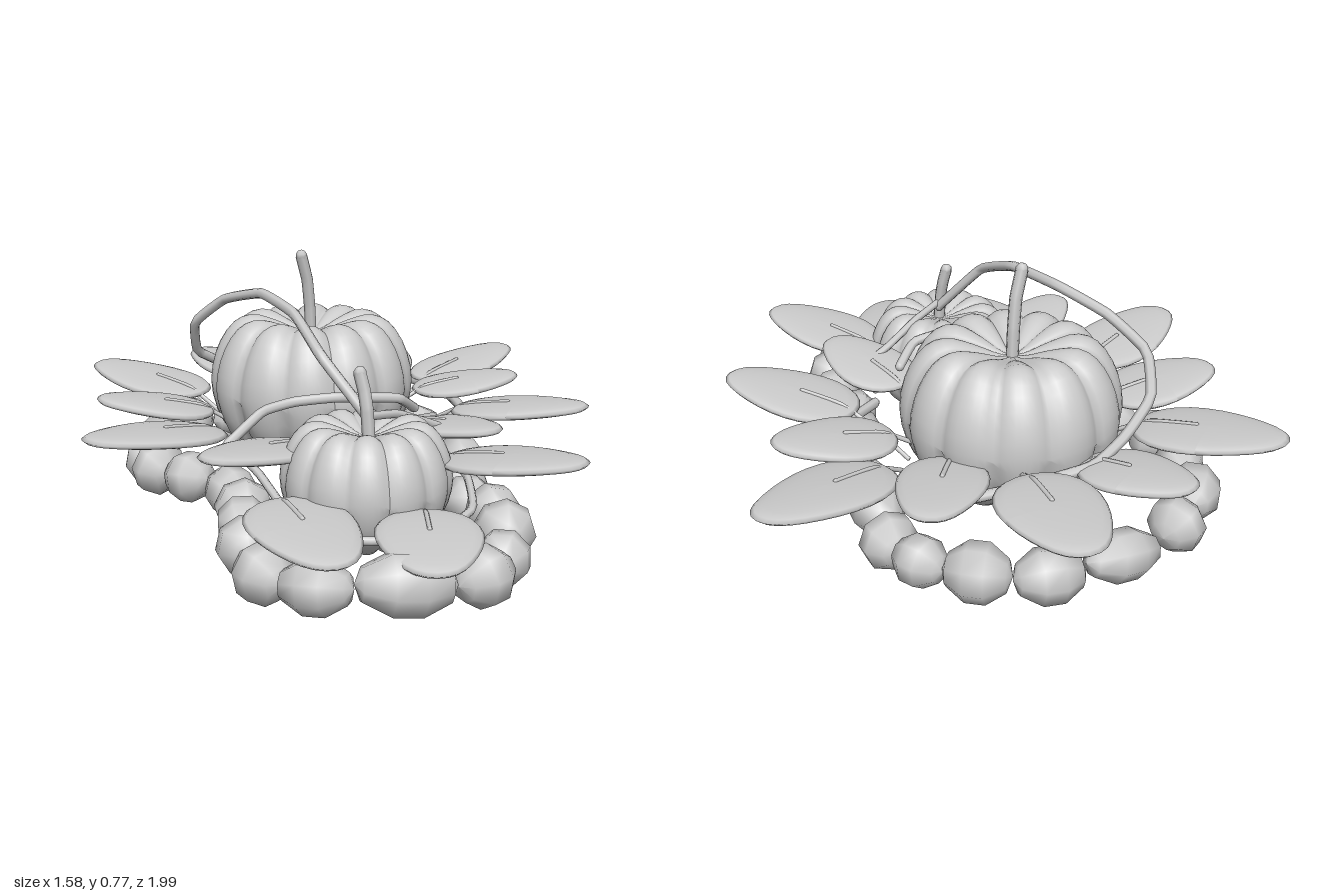
import * as THREE from 'three';

const V = (p) => new THREE.Vector3(...p);
const material = new THREE.MeshStandardMaterial({ color: 0xcccccc });

function addMesh(parent, name, geometry) {
  const mesh = new THREE.Mesh(geometry, material);
  mesh.name = name;
  parent.add(mesh);
  return mesh;
}

// Kinked stalk through a few points, closed at both ends
function addVine(parent, name, points, radius) {
  const curve = new THREE.CatmullRomCurve3(points.map(V), false, 'catmullrom', 0.2);
  const vine = addMesh(parent, name, new THREE.TubeGeometry(curve, points.length * 5, radius, 7));
  for (const t of [0, 1]) {
    addMesh(vine, name + 'End', new THREE.SphereGeometry(radius, 7, 5)).position.copy(curve.getPoint(t));
  }
}

// Ribbed pumpkin: a lathed profile whose radius is pinched at each groove
function addPumpkin(parent, name, [x, z], radius, y0, y1, ribs, stem) {
  const group = new THREE.Group();
  group.name = name;
  parent.add(group);
  const h = y1 - y0;
  const outline = [[0, 0.09], [0.14, 0.05], [0.35, 0.0], [0.65, 0.06], [0.9, 0.26], [1, 0.52],
    [0.94, 0.76], [0.78, 0.94], [0.58, 1], [0.35, 0.96], [0.14, 0.9], [0, 0.88]];
  const profile = new THREE.SplineCurve(outline.map(([r, y]) => new THREE.Vector2(r * radius, y0 + y * h)))
    .getPoints(28);
  profile.forEach((p) => { p.x = Math.max(p.x, 0); });
  const geometry = new THREE.LatheGeometry(profile, ribs * 8);
  const pos = geometry.attributes.position;
  for (let i = 0; i < pos.count; i++) {
    const a = Math.atan2(pos.getX(i), pos.getZ(i));
    const pinch = 1 - 0.055 * Math.pow(1 - Math.abs(Math.sin(a * ribs / 2)), 1.3);
    const rim = Math.hypot(pos.getX(i), pos.getZ(i)) / radius;
    const dip = (1 - pinch) * h * 0.8 * Math.min(1, rim * 2) * Math.sign(pos.getY(i) - (y0 + y1) / 2);
    pos.setXYZ(i, pos.getX(i) * pinch, pos.getY(i) - dip, pos.getZ(i) * pinch);
  }
  geometry.computeVertexNormals();
  addMesh(group, 'pumpkinBody', geometry).position.set(x, 0, z);
  addVine(group, 'pumpkinStem', stem, 0.019);
}

// Flat, blunt-tipped leaf pointing along +z, unit length, half-width 1
function leafGeometry() {
  const geometry = new THREE.SphereGeometry(1, 28, 10);
  const pos = geometry.attributes.position;
  for (let i = 0; i < pos.count; i++) {
    const t = (pos.getZ(i) + 1) / 2;
    const y = pos.getY(i);
    pos.setXYZ(i, pos.getX(i) * (1.18 - 0.5 * t + 0.2 * t ** 8), Math.sign(y) * Math.pow(Math.abs(y), 0.8), t);
  }
  geometry.computeVertexNormals();
  return geometry;
}

export function createModel() {
  const model = new THREE.Group();
  model.name = 'pumpkinPatch';

  addPumpkin(model, 'largePumpkin', [-0.03, -0.25], 0.325, 0.09, 0.555, 12,
    [[-0.03, 0.48, -0.25], [-0.035, 0.58, -0.245], [-0.045, 0.67, -0.235], [-0.066, 0.75, -0.225]]);
  addPumpkin(model, 'smallPumpkin', [-0.03, 0.41], 0.24, 0.04, 0.385, 12,
    [[-0.025, 0.33, 0.42], [-0.03, 0.42, 0.415], [-0.035, 0.47, 0.405], [-0.045, 0.52, 0.395]]);

  // Vines
  addVine(model, 'mainVine', [[-0.02, 0.39, 0.4], [-0.13, 0.55, 0.29], [-0.16, 0.63, 0.09],
    [-0.21, 0.65, -0.15], [-0.3, 0.61, -0.3], [-0.385, 0.52, -0.39], [-0.37, 0.41, -0.46],
    [-0.26, 0.34, -0.53], [-0.14, 0.3, -0.585], [0.06, 0.28, -0.59], [0.29, 0.27, -0.58],
    [0.38, 0.27, -0.42], [0.43, 0.27, -0.25], [0.42, 0.26, -0.06], [0.3, 0.25, 0.06]], 0.016);
  addVine(model, 'middleVine', [[-0.38, 0.28, 0.19], [-0.27, 0.36, 0.155], [-0.18, 0.39, 0.18],
    [-0.06, 0.4, 0.2], [0.13, 0.38, 0.18], [0.2, 0.33, 0.12]], 0.015);
  addVine(model, 'smallVine', [[-0.02, 0.4, 0.41], [0.08, 0.38, 0.34], [0.19, 0.33, 0.28], [0.3, 0.28, 0.24]], 0.012);
  addVine(model, 'lowVine', [[0.26, 0.22, 0.2], [0.27, 0.2, 0.4], [0.22, 0.17, 0.58], [0.08, 0.15, 0.68],
    [-0.12, 0.15, 0.68], [-0.27, 0.18, 0.55], [-0.32, 0.24, 0.35], [-0.37, 0.28, 0.2]], 0.012);

  // Leaves: base x, z, tip x, z, width, base height, tip height
  const leaves = [
    [0.055, -0.59, 0.055, -1.0, 0.3, 0.315, 0.325], [-0.14, -0.53, -0.32, -0.83, 0.25, 0.29, 0.33],
    [-0.37, -0.37, -0.68, -0.7, 0.29, 0.28, 0.335], [-0.36, -0.19, -0.72, -0.2, 0.28, 0.275, 0.335],
    [-0.38, 0.03, -0.78, 0.25, 0.29, 0.28, 0.335], [-0.13, 0.21, -0.49, 0.48, 0.26, 0.27, 0.33],
    [-0.29, 0.48, -0.24, 0.92, 0.3, 0.21, 0.185], [0.07, 0.62, -0.02, 0.99, 0.29, 0.195, 0.17],
    [0.2, 0.41, 0.48, 0.73, 0.28, 0.265, 0.32], [0.2, 0.08, 0.35, 0.41, 0.26, 0.275, 0.325],
    [0.38, -0.03, 0.71, 0.25, 0.28, 0.275, 0.33], [0.31, -0.22, 0.67, -0.22, 0.27, 0.285, 0.325],
    [0.38, -0.37, 0.78, -0.6, 0.27, 0.28, 0.335], [0.2, -0.4, 0.38, -0.73, 0.26, 0.29, 0.325]];
  const leafShape = leafGeometry();
  for (const [bx, bz, tx, tz, width, by, ty] of leaves) {
    const base = new THREE.Vector3(bx, by, bz);
    const tip = new THREE.Vector3(tx, ty, tz);
    const length = base.distanceTo(tip);
    const leaf = new THREE.Group();
    leaf.name = 'leaf';
    leaf.position.copy(base);
    leaf.lookAt(tip);
    model.add(leaf);
    addMesh(leaf, 'leafBlade', leafShape).scale.set(width / 2, 0.021, length);
    addVine(leaf, 'leafStalk', [[0, 0.02, length * 0.42], [0, 0.014, length * 0.12], [0, -0.03, -0.06], [0, -0.1, -0.18]], 0.007);
  }

  // Ring of stones, round and long mixed: x, z, half length
  const stones = [
    [0.05, -0.75, 0.1], [0.23, -0.69, 0.095], [0.35, -0.57, 0.08], [0.4, -0.44, 0.075], [0.39, -0.28, 0.11],
    [0.41, -0.03, 0.12], [0.34, 0.16, 0.1], [0.31, 0.31, 0.075], [0.33, 0.45, 0.08],
    [0.31, 0.59, 0.08], [0.25, 0.73, 0.08], [0.15, 0.85, 0.085], [-0.06, 0.88, 0.13], [-0.27, 0.81, 0.1],
    [-0.37, 0.67, 0.085], [-0.39, 0.52, 0.08], [-0.37, 0.37, 0.085], [-0.34, 0.21, 0.085], [-0.35, 0.05, 0.09],
    [-0.46, -0.06, 0.08], [-0.54, -0.18, 0.075], [-0.56, -0.32, 0.08],
    [-0.51, -0.5, 0.115], [-0.37, -0.66, 0.075], [-0.17, -0.73, 0.12]];
  const stoneProfile = [[0, -1], [0.55, -0.86], [1, -0.3], [1, 0.3], [0.55, 0.86], [0, 1]];
  const stoneShape = new THREE.LatheGeometry(stoneProfile.map(([r, y]) => new THREE.Vector2(r, y)), 8)
    .rotateX(Math.PI / 2);
  const ring = new THREE.Group();
  ring.name = 'stoneRing';
  model.add(ring);
  stones.forEach(([x, z, half], i) => {
    const before = stones[(i + stones.length - 1) % stones.length];
    const after = stones[(i + 1) % stones.length];
    const stone = addMesh(ring, 'stone', stoneShape);
    const girth = 0.079 + 0.006 * Math.sin(i * 2.3);
    stone.position.set(x, 0.098 + 0.012 * Math.sin(i * 1.7), z);
    stone.rotation.set(0.15 * Math.sin(i * 3.1), Math.atan2(after[0] - before[0], after[1] - before[1]), i * 1.3, 'YXZ');
    stone.scale.set(girth, girth, half);
  });
  return model;
}
